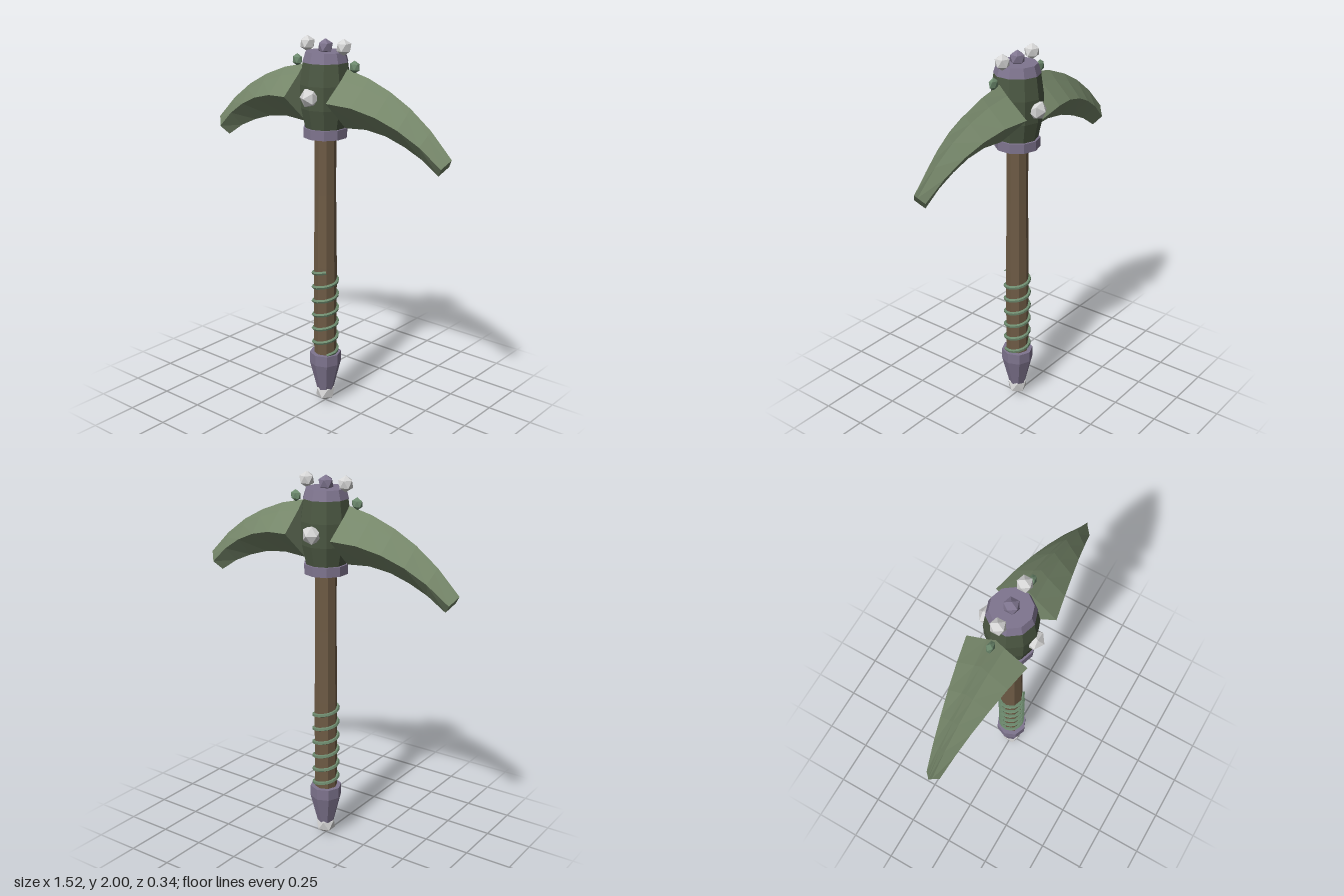
import * as THREE from 'three';

const mat = (name, color) => new THREE.MeshStandardMaterial({ name, color, flatShading: true });

export function createModel() {
  const group = new THREE.Group();
  const wood = mat('wood', 0x6e5b45);
  const purple = mat('purple metal', 0x7f758f);
  const blade = mat('blade green', 0x76876a);
  const darkGreen = mat('dark green', 0x4c5843);
  const vine = mat('vine green', 0x6d8a6e);
  const white = mat('white crystal', 0xd6d6d6);

  const add = (name, geometry, material, x = 0, y = 0, z = 0) => {
    const mesh = new THREE.Mesh(geometry, material);
    mesh.name = name;
    mesh.position.set(x, y, z);
    group.add(mesh);
    return mesh;
  };
  // Faceted solid of revolution from [radius, y] pairs
  const turned = (name, points, sides, material) =>
    add(name, new THREE.LatheGeometry(points.map(p => new THREE.Vector2(...p)), sides), material);
  // Icosahedral stud with a corner pointing straight up
  const gem = (name, r, material, x, y, z) => {
    const g = new THREE.IcosahedronGeometry(r, 0);
    g.rotateZ(Math.atan(2 / (1 + Math.sqrt(5))));
    return add(name, g, material, x, y, z);
  };

  // Handle
  turned('handle', [[0, 0.27], [0.061, 0.27], [0.061, 0.8], [0.056, 1.2], [0.056, 1.52], [0, 1.52]], 8, wood);

  // Vine wrapped around the grip
  const turns = 6, coil = [];
  for (let i = 0; i <= turns * 8; i++) {
    const t = (i / 8) * Math.PI * 2 + Math.PI / 4;
    coil.push(new THREE.Vector3(0.065 * Math.sin(t), 0.3 + 0.48 * i / (turns * 8), 0.065 * Math.cos(t)));
  }
  add('gripWrap', new THREE.TubeGeometry(new THREE.CatmullRomCurve3(coil), turns * 16, 0.01, 5), vine);

  // Pommel
  turned('pommel', [[0, 0.08], [0.045, 0.08], [0.085, 0.24], [0.085, 0.3], [0.062, 0.3], [0, 0.295]], 8, purple);
  gem('pommelGem', 0.057, white, 0, 0.06, 0);

  // Head: collar, barrel and cap
  turned('headCollar', [[0, 1.5], [0.115, 1.5], [0.115, 1.55], [0, 1.55]], 10, purple);
  turned('headBarrel', [[0, 1.54], [0.102, 1.54], [0.126, 1.65], [0.131, 1.77], [0.115, 1.885], [0, 1.885]], 10, darkGreen);
  turned('headCap', [[0, 1.88], [0.118, 1.88], [0.102, 1.93], [0, 1.93]], 10, purple);
  gem('capGem', 0.041, purple, 0, 1.952, 0);

  // Blade: six-sided concave cross-sections swept along the arc
  // [top x, top y, bottom x, bottom y, half width]
  const sections = [
    [0.14, 1.855, 0.13, 1.56, 0.16],
    [0.27, 1.825, 0.26, 1.57, 0.133],
    [0.4, 1.775, 0.38, 1.555, 0.107],
    [0.52, 1.71, 0.49, 1.52, 0.082],
    [0.64, 1.62, 0.59, 1.475, 0.059],
    [0.76, 1.5, 0.69, 1.41, 0.035],
  ];
  const profile = [[0, 0], [0.16, 0.28], [0.5, 1], [1, 0], [0.5, -1], [0.16, -0.28]];
  const pos = [], idx = [];
  sections.forEach(([tx, ty, bx, by, w], i) => {
    profile.forEach(([k, s], j) => {
      pos.push(tx + (bx - tx) * k, ty + (by - ty) * k, w * s);
      if (i === sections.length - 1) return;
      const a = i * 6 + j, b = i * 6 + (j + 1) % 6;
      idx.push(a, b, b + 6, a, b + 6, a + 6);
    });
  });
  const last = (sections.length - 1) * 6;
  for (const [a, b] of [[4, 5], [5, 0], [0, 1], [1, 2]]) {
    idx.push(last + 3, last + a, last + b, 3, b, a);
  }
  const bladeGeo = new THREE.BufferGeometry();
  bladeGeo.setAttribute('position', new THREE.Float32BufferAttribute(pos, 3));
  bladeGeo.setIndex(idx);
  bladeGeo.computeVertexNormals();

  // Mirrored blades and studs
  for (const [side, s] of [['left', 1], ['right', -1]]) {
    add(side + 'Blade', bladeGeo, blade).rotation.y = s > 0 ? 0 : Math.PI;
    gem(side + 'BladeStud', 0.032, vine, s * 0.185, 1.87, 0).scale.z = 0.6;
    gem(side + 'TopGem', 0.041, white, s * 0.117, 1.959, 0);
  }
  for (const [side, s] of [['front', 1], ['back', -1]]) {
    gem(side + 'Gem', 0.052, white, 0, 1.715, s * 0.12).rotation.x = s * Math.PI / 2;
  }
  return group;
}
